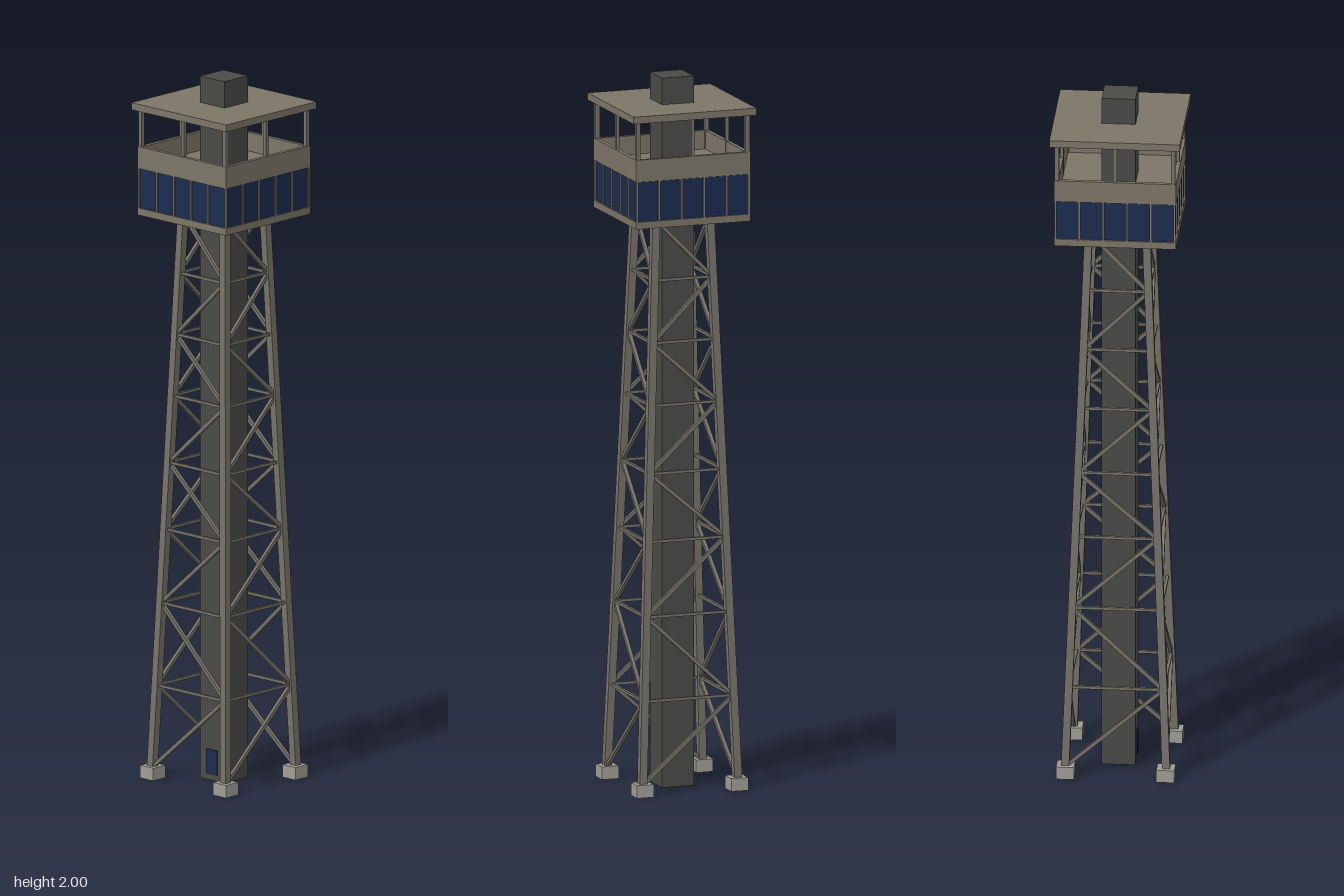
import * as THREE from 'three';

const mat = (color) => new THREE.MeshStandardMaterial({ color, flatShading: true });
const UP = new THREE.Vector3(0, 1, 0);

export function createModel() {
  const model = new THREE.Group();
  const steel = mat(0x77736a), trim = mat(0x7d7668), core = mat(0x4a4a47);
  const concrete = mat(0xa09e96), glass = mat(0x1b2c50);

  const box = (parent, name, material, w, h, d, x, y, z) => {
    const m = new THREE.Mesh(new THREE.BoxGeometry(w, h, d), material);
    m.position.set(x, y, z);
    m.name = name;
    parent.add(m);
    return m;
  };
  // Square bar between two points
  const beam = (parent, name, a, b, t) => {
    const dir = b.clone().sub(a);
    const mid = a.clone().add(b).multiplyScalar(0.5);
    const m = box(parent, name, steel, t, dir.length(), t, mid.x, mid.y, mid.z);
    m.quaternion.setFromUnitVectors(UP, dir.normalize());
  };
  // Four copies of a part turned about the tower axis
  const fourSides = (name, build) => {
    for (let i = 0; i < 4; i++) {
      const side = new THREE.Group();
      side.name = name + (i + 1);
      side.rotation.y = i * Math.PI / 2;
      build(side, i);
      model.add(side);
    }
  };

  // Central shaft with its door
  box(model, 'liftShaft', core, 0.094, 2, 0.094, 0, 1, 0);
  box(model, 'door', glass, 0.042, 0.07, 0.004, 0, 0.053, 0.048);

  // Tapered lattice: a leg, a footing and zigzag bracing per side
  const spread = (y) => 0.14 - 0.06 * (y - 0.03) / 1.58;
  const levels = [0.03, 0.265, 0.5, 0.71, 0.9, 1.09, 1.265, 1.44, 1.61];
  const node = (sx, y) => new THREE.Vector3(sx * spread(y), y, spread(y));
  fourSides('latticeSide', (side) => {
    box(side, 'footing', concrete, 0.05, 0.036, 0.05, 0.139, 0.018, 0.139);
    beam(side, 'leg', node(1, 0.03), node(1, 1.61), 0.022);
    for (let i = 0; i < levels.length - 1; i++) {
      const s = i % 2 ? 1 : -1;
      beam(side, 'diagonalBrace', node(s, levels[i]), node(-s, levels[i + 1]), 0.01);
      if (i) beam(side, 'horizontalBrace', node(-1, levels[i]), node(1, levels[i]), 0.008);
    }
  });

  // Cabin: floor slab, glazed storey and open deck
  box(model, 'cabinFloor', trim, 0.338, 0.02, 0.338, 0, 1.615, 0);
  box(model, 'cabinGlazing', glass, 0.328, 0.115, 0.328, 0, 1.6825, 0);
  box(model, 'deckFloor', trim, 0.334, 0.01, 0.334, 0, 1.742, 0);
  fourSides('cabinSide', (side) => {
    // Mullions dividing five panes
    for (let i = 0; i < 5; i++)
      box(side, 'mullion', trim, 0.006, 0.115, 0.006, -0.165 + i * 0.066, 1.6825, 0.165);
    box(side, 'parapet', trim, 0.326, 0.062, 0.012, 0.006, 1.769, 0.163);
    // Corner and middle roof posts
    box(side, 'cornerPost', steel, 0.012, 0.17, 0.012, 0.161, 1.825, 0.161);
    box(side, 'middlePost', steel, 0.01, 0.17, 0.01, 0, 1.825, 0.161);
  });

  // Flat roof pierced by the shaft
  box(model, 'roof', trim, 0.362, 0.02, 0.362, 0, 1.915, 0);

  return model;
}
